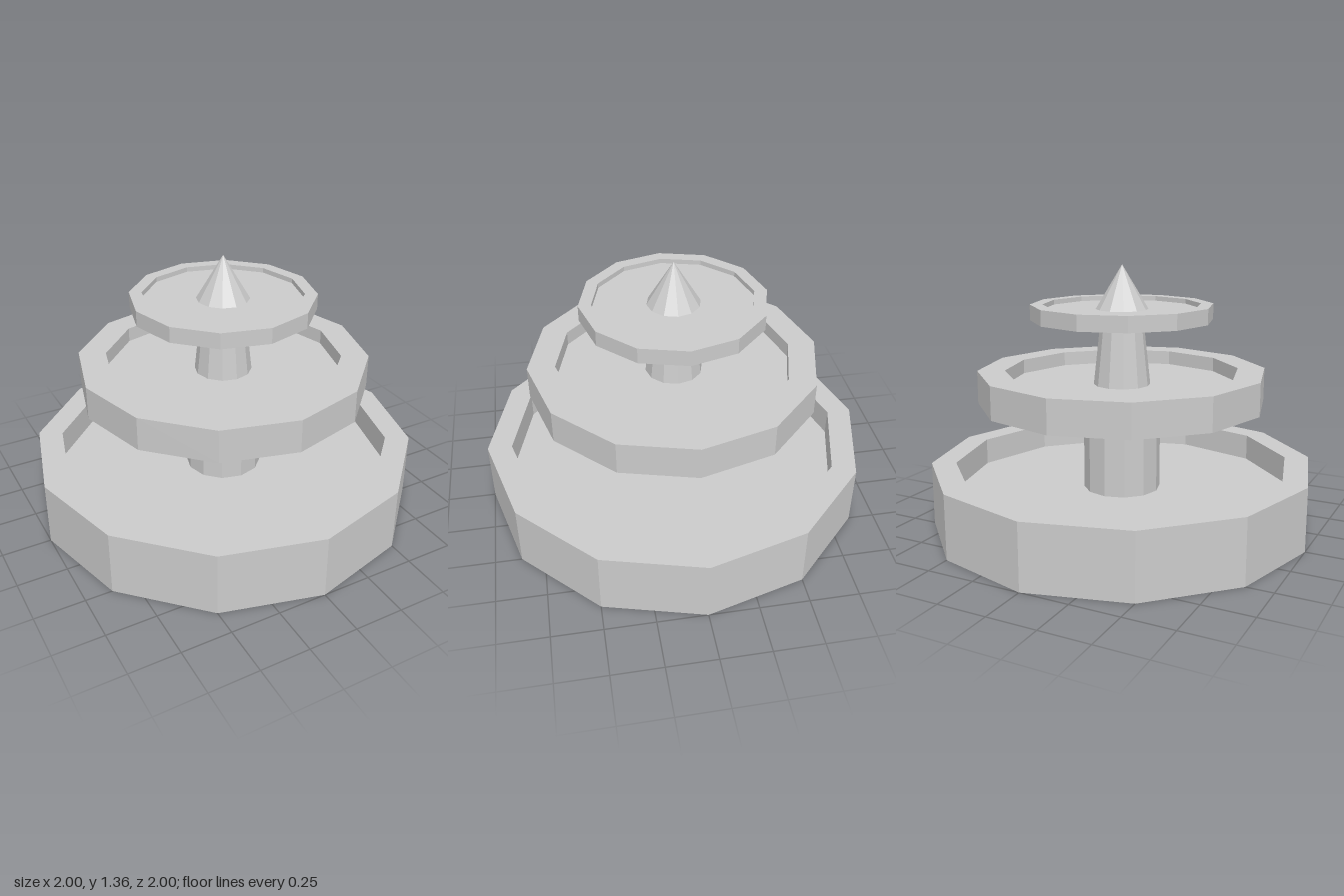
import * as THREE from 'three';

const SIDES = 12;

export function createModel() {
  const group = new THREE.Group();
  group.name = 'tieredFountain';
  const material = new THREE.MeshStandardMaterial({
    color: 0xcccccc, flatShading: true, side: THREE.DoubleSide,
  });

  // Faceted turned part from a profile of [radius, height] pairs, bottom to top
  const turned = (name, profile) => {
    const points = profile.map(([r, y]) => new THREE.Vector2(r, y));
    const mesh = new THREE.Mesh(new THREE.LatheGeometry(points, SIDES), material);
    mesh.name = name;
    group.add(mesh);
  };

  // Basin: underside from stemBelow, outer wall, flat rim, inner wall, floor to stemAbove
  const basin = (name, { bottom, top, floor, outer, inner, stemBelow, stemAbove }) => {
    const underside = stemBelow === undefined ? [] : [[stemBelow, bottom]];
    turned(name, [...underside, [outer, bottom], [outer, top],
      [inner, top], [inner, floor], [stemAbove, floor]]);
  };

  // The lowest basin is open underneath, and its column is hollow
  basin('lowerBasin', { bottom: 0, top: 0.33, floor: 0.19, outer: 1, inner: 0.873, stemAbove: 0.2 });
  turned('lowerColumn', [[0.2, 0.19], [0.2, 0.65]]);

  basin('middleBasin', { bottom: 0.65, top: 0.82, floor: 0.745, outer: 0.746, inner: 0.605,
    stemBelow: 0.2, stemAbove: 0.147 });
  turned('upperColumn', [[0.147, 0.745], [0.11, 1.08]]);

  basin('upperBasin', { bottom: 1.08, top: 1.16, floor: 1.135, outer: 0.469, inner: 0.405,
    stemBelow: 0.11, stemAbove: 0.135 });
  turned('spire', [[0.135, 1.135], [0, 1.36]]);

  return group;
}
